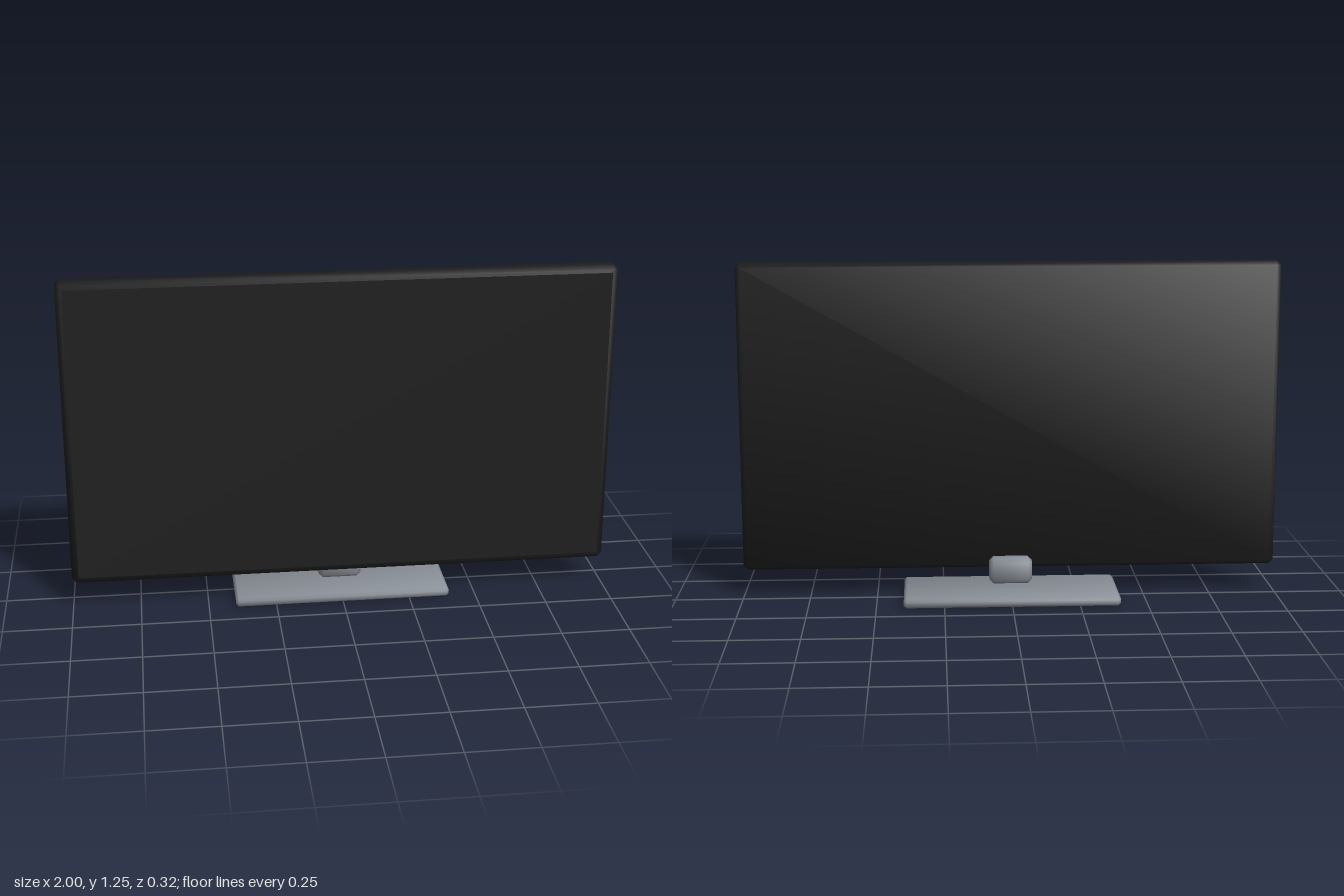
import * as THREE from 'three';
import { ConvexGeometry } from 'three/addons/geometries/ConvexGeometry.js';

const AXES = ['x', 'y', 'z'];

// Box with one 45-degree chamfer on every edge and softly blended normals
function chamferBox(w, h, d, bevel) {
  const half = new THREE.Vector3(w / 2, h / 2, d / 2);
  const points = [];
  for (const axis of AXES)
    for (const sx of [-1, 1]) for (const sy of [-1, 1]) for (const sz of [-1, 1]) {
      const p = half.clone().subScalar(bevel);
      p[axis] = half[axis];
      points.push(p.multiply(new THREE.Vector3(sx, sy, sz)));
    }
  const geometry = new ConvexGeometry(points);

  // Lean each corner normal outwards from the face it lies on
  const pos = geometry.attributes.position;
  const p = new THREE.Vector3();
  const n = new THREE.Vector3();
  for (let i = 0; i < pos.count; i++) {
    p.fromBufferAttribute(pos, i);
    for (const axis of AXES) {
      const onFace = Math.abs(p[axis]) > half[axis] - bevel / 2;
      n[axis] = Math.sign(p[axis]) * (onFace ? 1 : 0.35);
    }
    n.normalize();
    geometry.attributes.normal.setXYZ(i, n.x, n.y, n.z);
  }
  return geometry;
}

export function createModel() {
  const model = new THREE.Group();
  model.name = 'television';

  const material = (name, color) => {
    const m = new THREE.MeshStandardMaterial({ color });
    m.name = name;
    return m;
  };
  const black = material('black casing', 0x1c1c1c);
  const glass = material('dark screen', 0x1f1f1f);
  const grey = material('grey metal', 0x8a9098);

  const add = (name, geometry, mat, x, y, z) => {
    const mesh = new THREE.Mesh(geometry, mat);
    mesh.name = name;
    mesh.position.set(x, y, z);
    model.add(mesh);
  };

  // Panel casing with the screen sitting slightly proud of it
  add('casing', chamferBox(2, 1.15, 0.07, 0.017), black, 0, 0.675, 0.065);
  add('screen', new THREE.BoxGeometry(1.95, 1.095, 0.009), glass, 0, 0.675, 0.1025);

  // Stand: hinge block behind the lower edge and flat foot
  add('hinge', chamferBox(0.16, 0.096, 0.082, 0.016), grey, 0, 0.098, 0.016);
  add('foot', chamferBox(0.8, 0.034, 0.32, 0.01), grey, 0, 0.017, 0);

  return model;
}
